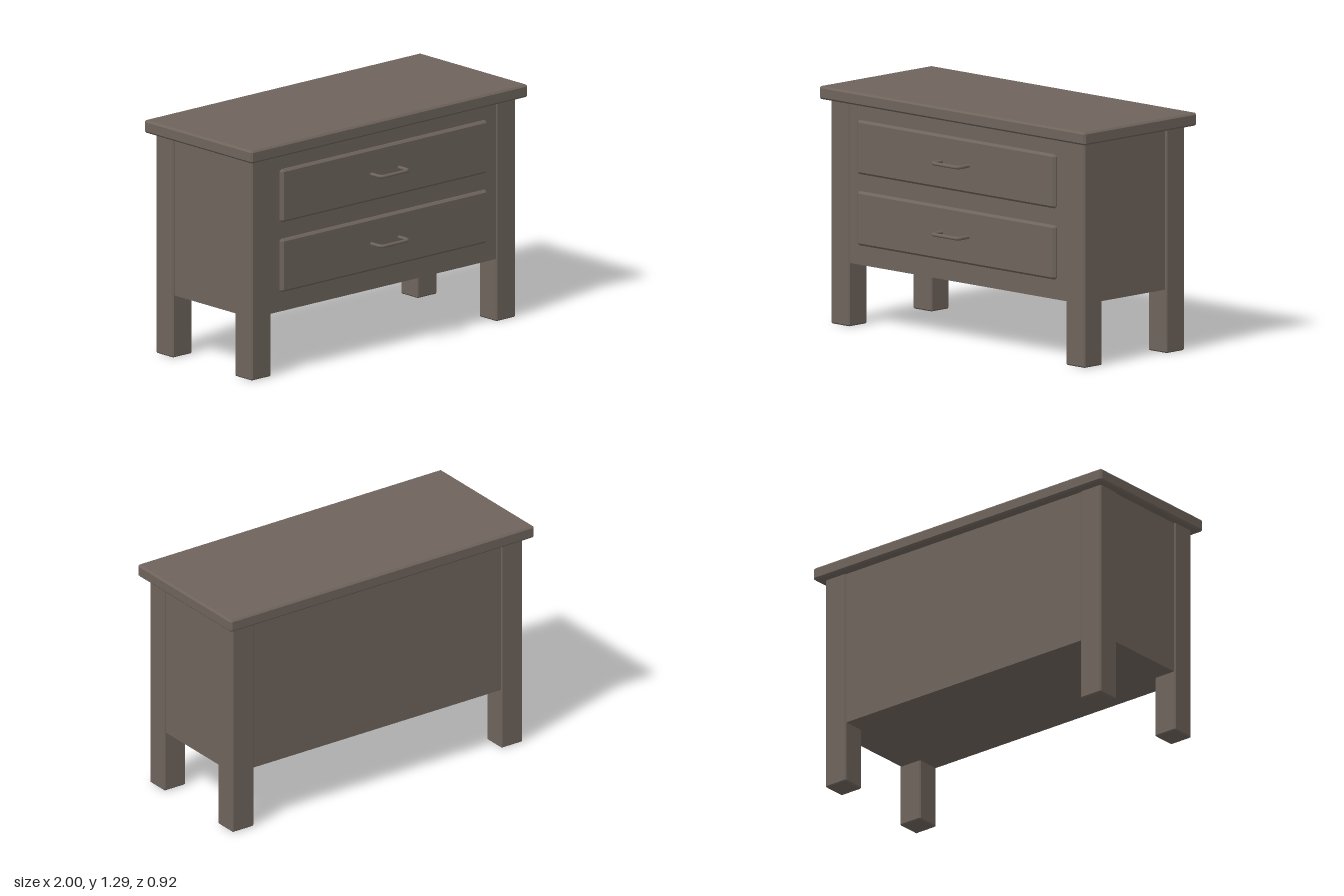
import * as THREE from 'three';
import { ConvexGeometry } from 'three/addons/geometries/ConvexGeometry.js';

// Box between two corners with all edges chamfered by c
function chamferBox(min, max, c) {
  const half = max.map((v, i) => (v - min[i]) / 2);
  const mid = max.map((v, i) => (v + min[i]) / 2);
  const points = [];
  for (const sx of [-1, 1]) for (const sy of [-1, 1]) for (const sz of [-1, 1]) {
    for (let axis = 0; axis < 3; axis++) {
      const p = [sx, sy, sz].map((s, i) => mid[i] + s * (i === axis ? half[i] : half[i] - c));
      points.push(new THREE.Vector3(...p));
    }
  }
  return new ConvexGeometry(points);
}

// U-shaped bar with rounded corners, lying flat in the xz plane
function handleGeometry(halfWidth, back, front, bend) {
  const v = (x, z) => new THREE.Vector3(x, 0, z);
  const path = new THREE.CurvePath();
  path.add(new THREE.LineCurve3(v(-halfWidth, back), v(-halfWidth, front - bend)));
  path.add(new THREE.QuadraticBezierCurve3(v(-halfWidth, front - bend), v(-halfWidth, front), v(-halfWidth + bend, front)));
  path.add(new THREE.LineCurve3(v(-halfWidth + bend, front), v(halfWidth - bend, front)));
  path.add(new THREE.QuadraticBezierCurve3(v(halfWidth - bend, front), v(halfWidth, front), v(halfWidth, front - bend)));
  path.add(new THREE.LineCurve3(v(halfWidth, front - bend), v(halfWidth, back)));
  return new THREE.TubeGeometry(path, 60, 0.01, 8, false);
}

export function createModel() {
  const group = new THREE.Group();
  const wood = new THREE.MeshStandardMaterial({ color: 0x6e645c });
  wood.name = 'greyBrownWood';

  const add = (name, geometry) => {
    const mesh = new THREE.Mesh(geometry, wood);
    mesh.name = name;
    group.add(mesh);
    return mesh;
  };

  // Overhanging top board
  add('topBoard', chamferBox([-1, 1.22, -0.46], [1, 1.29, 0.398], 0.01));

  // Cabinet body, set just behind the leg faces
  const body = add('body', new THREE.BoxGeometry(1.89, 0.88, 0.75));
  body.position.set(-0.003, 0.785, -0.03);

  // Four square legs
  for (const [side, x] of [['right', -0.957], ['left', 0.812]]) {
    for (const [end, z] of [['Front', 0.214], ['Back', -0.411]]) {
      add(`${side}${end}Leg`, chamferBox([x, 0, z], [x + 0.141, 1.228, z + 0.137], 0.007));
    }
  }

  // Two drawer fronts, each with a bar handle
  for (const [name, bottom, top] of [['upper', 0.84, 1.133], ['lower', 0.453, 0.747]]) {
    add(`${name}Drawer`, chamferBox([-0.75, bottom, 0.325], [0.74, top, 0.365], 0.012));
    const handle = add(`${name}Handle`, handleGeometry(0.1, 0.35, 0.446, 0.03));
    handle.position.set(-0.005, (bottom + top) / 2 + 0.005, 0);
  }

  return group;
}
